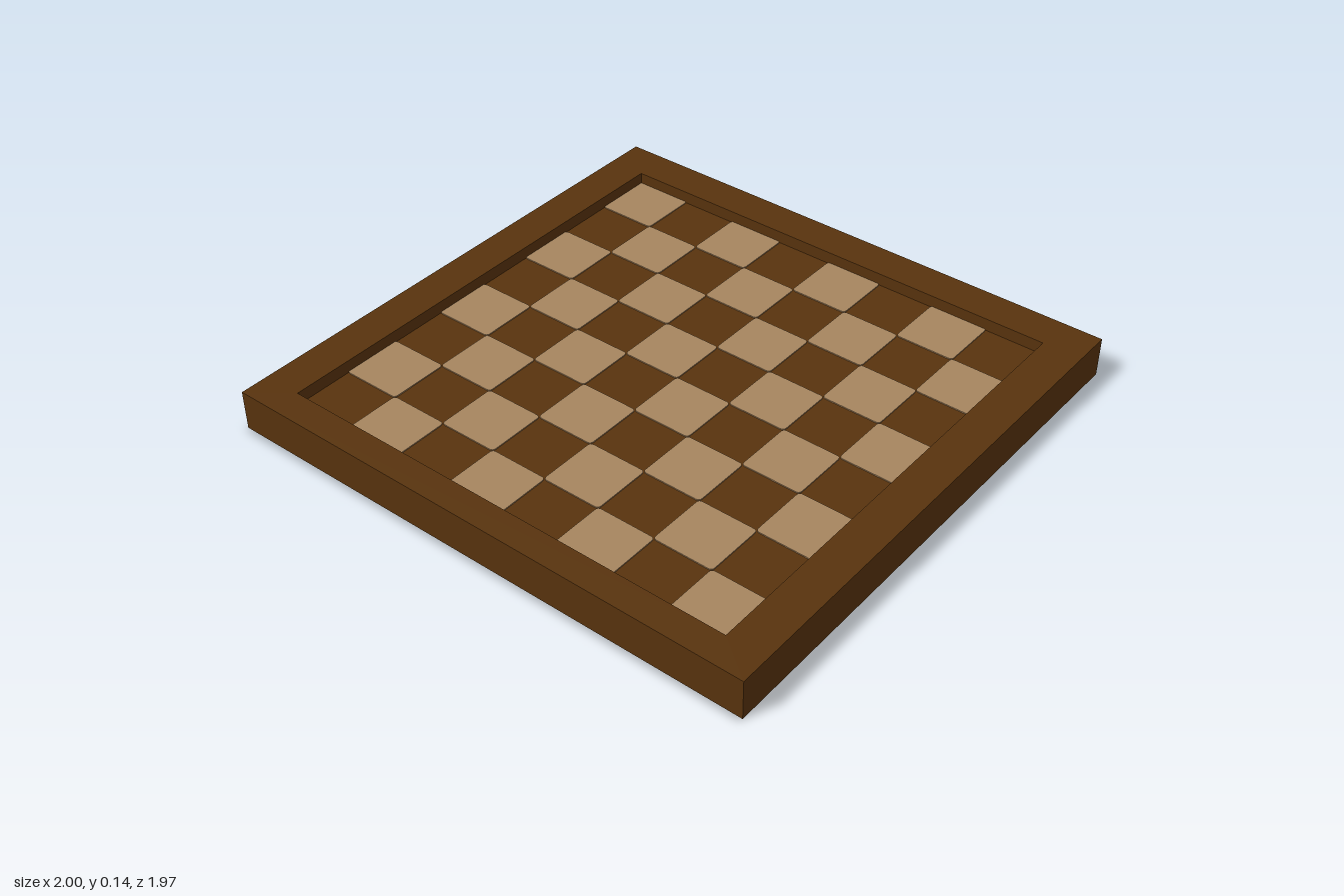
import * as THREE from 'three';

const TOP = 0.145, FLOOR = 0.1;             // rim height, playing surface height
const HALF = 0.858, CELL = HALF / 4;        // half width of the field, square size
const BACK = -0.987, FRONT = 0.976, MID_Z = 0.011;

export function createModel() {
  const board = new THREE.Group();
  board.name = 'checkeredBoard';
  const dark = new THREE.MeshStandardMaterial({ name: 'dark wood', color: 0x58330d });
  const light = new THREE.MeshStandardMaterial({ name: 'light wood', color: 0xa6855f });

  const add = (name, geometry, material, x, y, z, parent = board) => {
    const mesh = new THREE.Mesh(geometry, material);
    mesh.name = name;
    mesh.position.set(x, y, z);
    parent.add(mesh);
    return mesh;
  };

  // Rectangle path in the ground plane (shape y is -z)
  const rectangle = (path, x0, x1, z0, z1) => path
    .moveTo(x0, -z1).lineTo(x1, -z1).lineTo(x1, -z0).lineTo(x0, -z0).closePath();

  // Raised rim with a square opening
  const rim = rectangle(new THREE.Shape(), -1, 1, BACK, FRONT);
  rim.holes.push(rectangle(new THREE.Path(), -HALF, HALF, MID_Z - HALF, MID_Z + HALF));
  const rimGeometry = new THREE.ExtrudeGeometry(rim, { depth: TOP, bevelEnabled: false });
  rimGeometry.rotateX(-Math.PI / 2);
  add('rim', rimGeometry, dark, 0, 0, 0);

  // Sunken floor, which also forms the dark squares
  add('floor', new THREE.BoxGeometry(2 * HALF, FLOOR, 2 * HALF), dark, 0, FLOOR / 2, MID_Z);

  // Underside sheet, slightly longer at the front
  const underside = new THREE.PlaneGeometry(2, -2 * BACK).rotateX(Math.PI / 2);
  add('underside', underside, dark, 0, 0, 0);

  // Thin light squares with rounded corners that just meet diagonally
  const h = CELL / 2 + 0.002, r = 0.014;
  const square = new THREE.Shape();
  square.moveTo(-h + r, -h);
  square.lineTo(h - r, -h).quadraticCurveTo(h, -h, h, -h + r);
  square.lineTo(h, h - r).quadraticCurveTo(h, h, h - r, h);
  square.lineTo(-h + r, h).quadraticCurveTo(-h, h, -h, h - r);
  square.lineTo(-h, -h + r).quadraticCurveTo(-h, -h, -h + r, -h);
  const squareGeometry = new THREE.ExtrudeGeometry(square, {
    depth: 0.004, bevelEnabled: false, curveSegments: 4,
  });
  squareGeometry.rotateX(-Math.PI / 2);

  const squares = new THREE.Group();
  squares.name = 'lightSquares';
  board.add(squares);
  for (let row = 0; row < 8; row++) {
    for (let col = row % 2; col < 8; col += 2) {
      add('lightSquare', squareGeometry, light,
        (col - 3.5) * CELL, FLOOR, MID_Z + (row - 3.5) * CELL, squares);
    }
  }
  return board;
}
